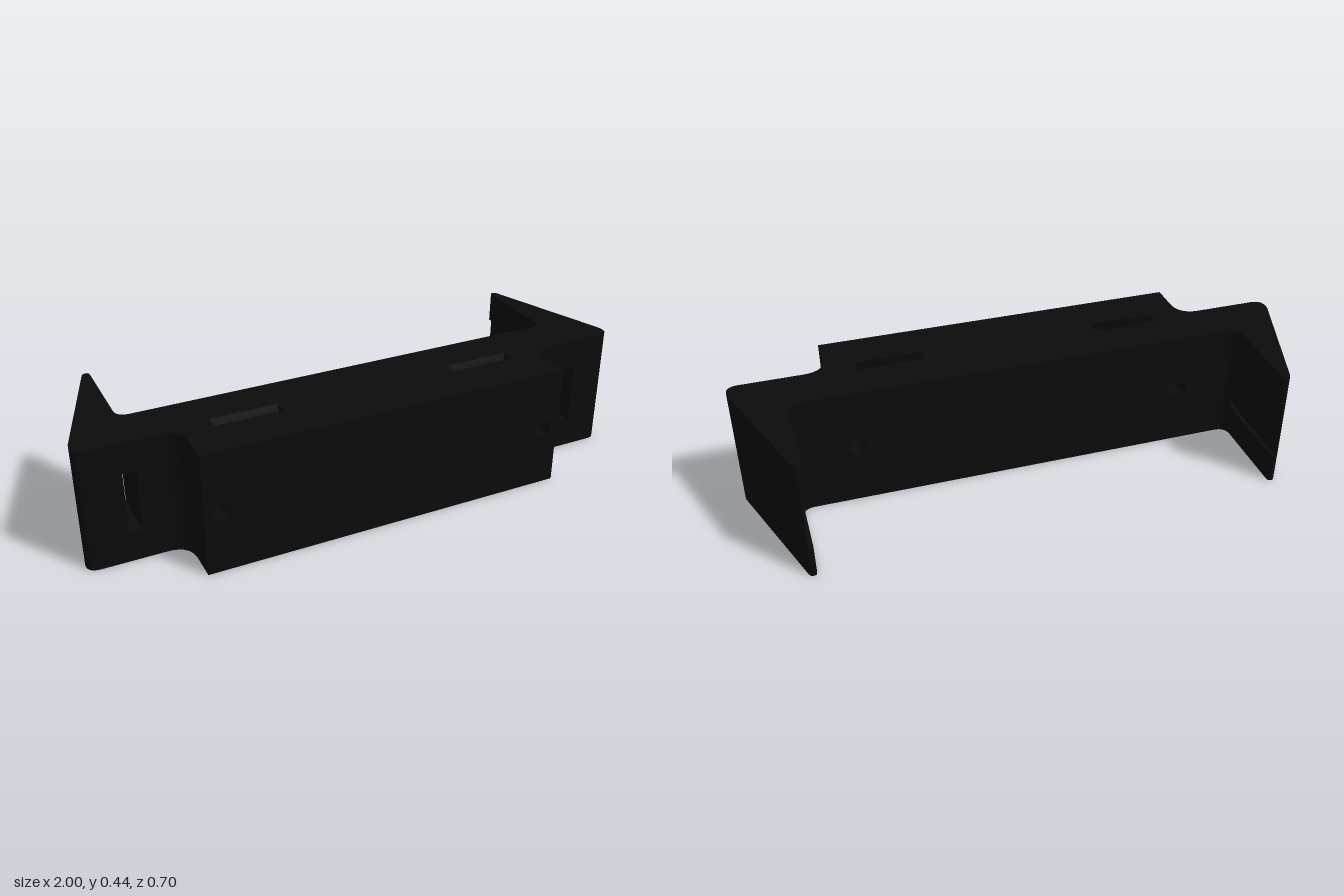
import * as THREE from 'three';
import { toCreasedNormals } from 'three/addons/utils/BufferGeometryUtils.js';

const H = 0.44, FRONT = 0.35, SLOT_LOW = 0.11, SLOT_HIGH = 0.33;
const material = new THREE.MeshStandardMaterial({ color: 0x0b0b0b });

export function createModel() {
  const group = new THREE.Group();
  const add = (name, geometry) => {
    const mesh = new THREE.Mesh(toCreasedNormals(geometry, 0.6), material);
    mesh.name = name;
    group.add(mesh);
  };
  const extrude = (shape, depth) =>
    new THREE.ExtrudeGeometry(shape, { depth, bevelEnabled: false, curveSegments: 16 });

  // Outline of (x, z) steps: 2 numbers draw a line, 4 a rounded corner (control, end)
  const plan = (side, steps) => {
    const shape = new THREE.Shape();
    steps.forEach((p, i) => {
      const q = p.map((v, k) => (k % 2 ? -v : v * side));
      if (i === 0) shape.moveTo(...q);
      else if (q.length === 2) shape.lineTo(...q);
      else shape.quadraticCurveTo(...q);
    });
    return shape;
  };
  const addLayer = (name, shape, y0, y1) =>
    add(name, extrude(shape, y1 - y0).rotateX(-Math.PI / 2).translate(0, y0, 0));

  // Solid middle of the body
  add('bodyCentre', new THREE.BoxGeometry(0.64, H, FRONT).translate(0, H / 2, FRONT / 2));

  // Part of the body beside a curved strap slot, drawn in (z, y) and swept along x
  const strapWall = (zFace, zSlot, bulge) => {
    const shape = new THREE.Shape();
    shape.moveTo(-zFace, 0);
    shape.lineTo(-zSlot, 0);
    shape.quadraticCurveTo(-(zSlot + 2 * bulge), H / 2, -zSlot, H);
    shape.lineTo(-zFace, H);
    return extrude(shape, 0.235).rotateY(Math.PI / 2);
  };

  for (const side of [1, -1]) {
    const label = side > 0 ? 'left' : 'right';

    // Walls in front of and behind the strap slot
    const x0 = side > 0 ? 0.32 : -0.555;
    add(label + 'StrapWallBack', strapWall(0, 0.145, 0.025).translate(x0, 0, 0));
    add(label + 'StrapWallFront', strapWall(FRONT, 0.195, 0.025).translate(x0, 0, 0));

    // Block with the screw hole
    const block = new THREE.Shape();
    block.moveTo(-0.045, 0).lineTo(0.045, 0).lineTo(0.045, H).lineTo(-0.045, H);
    const hole = new THREE.Path();
    hole.absarc(0, H / 2, 0.031, 0, Math.PI * 2, true);
    block.holes.push(hole);
    add(label + 'ScrewBlock', extrude(block, FRONT).translate(side * 0.6, 0, 0));

    // Solid arm above and below the side slot
    const root = [[0.74, 0.17], [0.66, 0.17, 0.66, 0.25], [0.66, FRONT], [0.645, FRONT]];
    const outer = [[0.843, -0.337], [0.996, 0.11], [1.01, 0.17, 0.955, 0.17]];
    const arm = plan(side, [
      [0.645, 0], [0.77, 0], [0.815, 0, 0.815, -0.045], [0.815, -0.335],
      [0.815, -0.35, 0.828, -0.35], [0.838, -0.35, ...outer[0]], ...outer.slice(1), ...root,
    ]);
    addLayer(label + 'ArmBottom', arm, 0, SLOT_LOW);
    addLayer(label + 'ArmTop', arm, SLOT_HIGH, H);

    // Inner and outer walls of the side slot, which runs out along the arm
    const inner = plan(side, [
      [0.645, 0], [0.77, 0], [0.803, 0, 0.81, -0.03], [0.81, 0.17], ...root,
    ]);
    const wall = plan(side, [
      [0.855, 0.17], [0.831, -0.1], [0.831, -0.35], [0.838, -0.35, ...outer[0]], ...outer.slice(1),
    ]);
    addLayer(label + 'SlotInnerWall', inner, SLOT_LOW, SLOT_HIGH);
    addLayer(label + 'SlotOuterWall', wall, SLOT_LOW, SLOT_HIGH);
  }
  return group;
}
